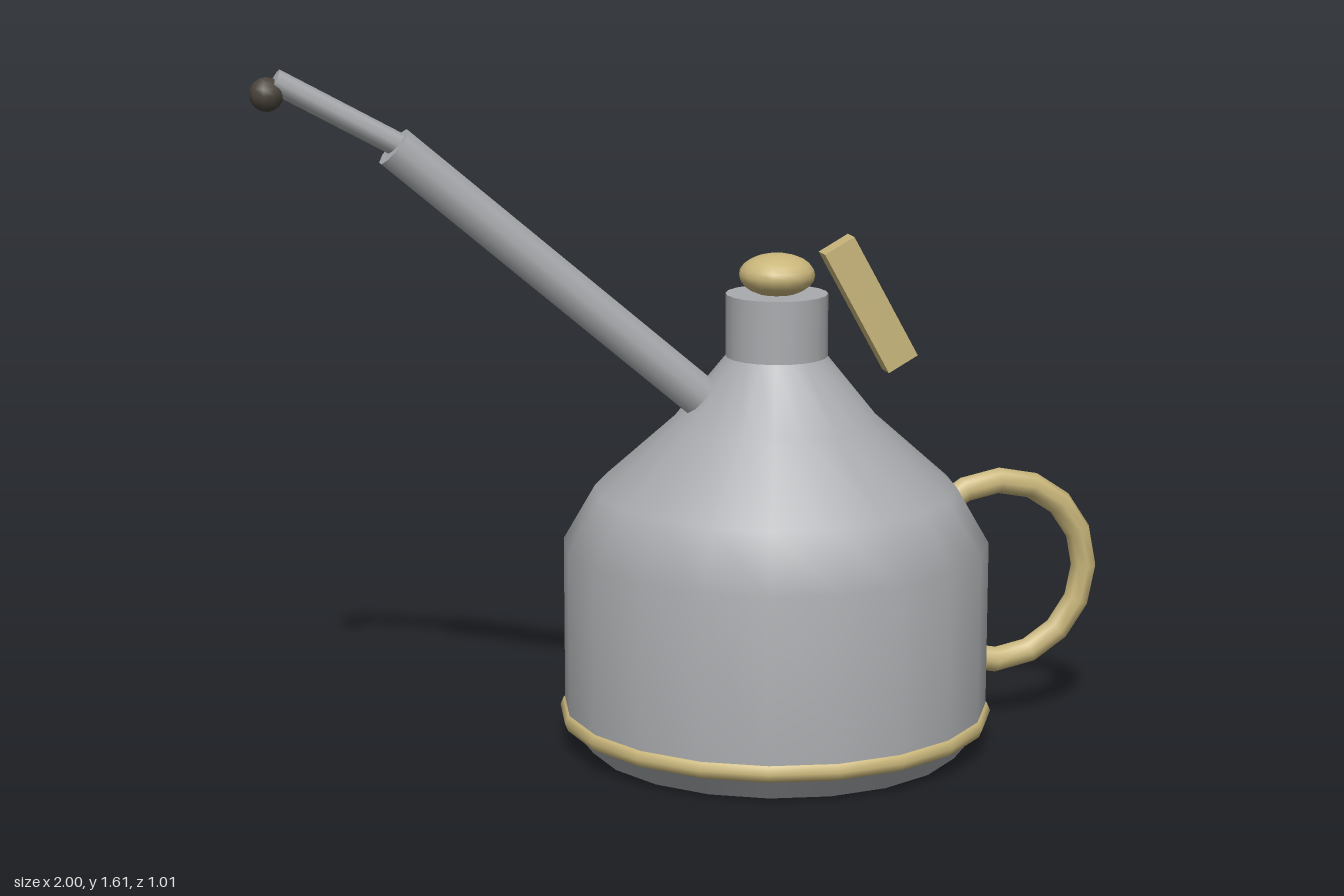
import * as THREE from 'three';

const X = 0.195; // axis of the can

export function createModel() {
  const group = new THREE.Group();
  const mat = (name, color) => Object.assign(new THREE.MeshStandardMaterial({ color }), { name });
  const steel = mat('steel', 0xa9abae);
  const brass = mat('brass', 0xc9b67b);
  const dark = mat('darkNozzle', 0x4a443b);

  const add = (name, geometry, material, x = 0, y = 0, z = 0) => {
    const mesh = new THREE.Mesh(geometry, material);
    mesh.name = name;
    mesh.position.set(x, y, z);
    group.add(mesh);
    return mesh;
  };

  // Cylinder between two points in the z = 0 plane
  const rod = (name, a, b, radius, sides, material) => {
    const dx = b[0] - a[0], dy = b[1] - a[1];
    const mesh = add(name, new THREE.CylinderGeometry(radius, radius, Math.hypot(dx, dy), sides),
      material, (a[0] + b[0]) / 2, (a[1] + b[1]) / 2);
    mesh.rotation.z = Math.atan2(-dx, dy);
  };

  // Can body: chamfered foot, then wall, shoulder and neck
  const lathe = (points) => new THREE.LatheGeometry(points.map(p => new THREE.Vector2(...p)), 20);
  add('foot', lathe([[0.44, 0], [0.495, 0.07]]), steel, X);
  add('body', lathe([[0.495, 0.07], [0.495, 0.48], [0.42, 0.61], [0.24, 0.77], [0.118, 0.92]]), steel, X);
  add('neck', lathe([[0.118, 0.92], [0.118, 1.065]]), steel, X);
  add('neckTop', lathe([[0.118, 1.065], [0, 1.065]]), steel, X);
  add('base', lathe([[0, 0], [0.44, 0]]), steel, X);

  // Brass band around the foot
  const band = new THREE.TorusGeometry(0.482, 0.024, 8, 20);
  band.rotateX(Math.PI / 2);
  add('baseBand', band, brass, X, 0.075);

  // Stopper
  add('stopper', new THREE.SphereGeometry(0.088, 16, 12), brass, X, 1.108).scale.y = 0.56;

  // Thumb lever
  add('thumbLever', new THREE.BoxGeometry(0.08, 0.325, 0.05), brass, 0.416, 1.03)
    .rotation.z = 0.506;

  // Side handle, its ends buried in the body
  const handle = new THREE.TorusGeometry(0.22, 0.031, 8, 12, Math.PI * 1.5);
  handle.rotateZ(-Math.PI * 0.75);
  add('handle', handle, brass, 0.745, 0.37);

  // Spout with thinner bent tip and nozzle
  rod('spout', [0.01, 0.835], [-0.685, 1.432], 0.05, 10, steel);
  rod('spoutTip', [-0.665, 1.43], [-0.945, 1.585], 0.027, 8, steel);
  add('nozzle', new THREE.SphereGeometry(0.038, 10, 8), dark, -0.962, 1.555);

  return group;
}
